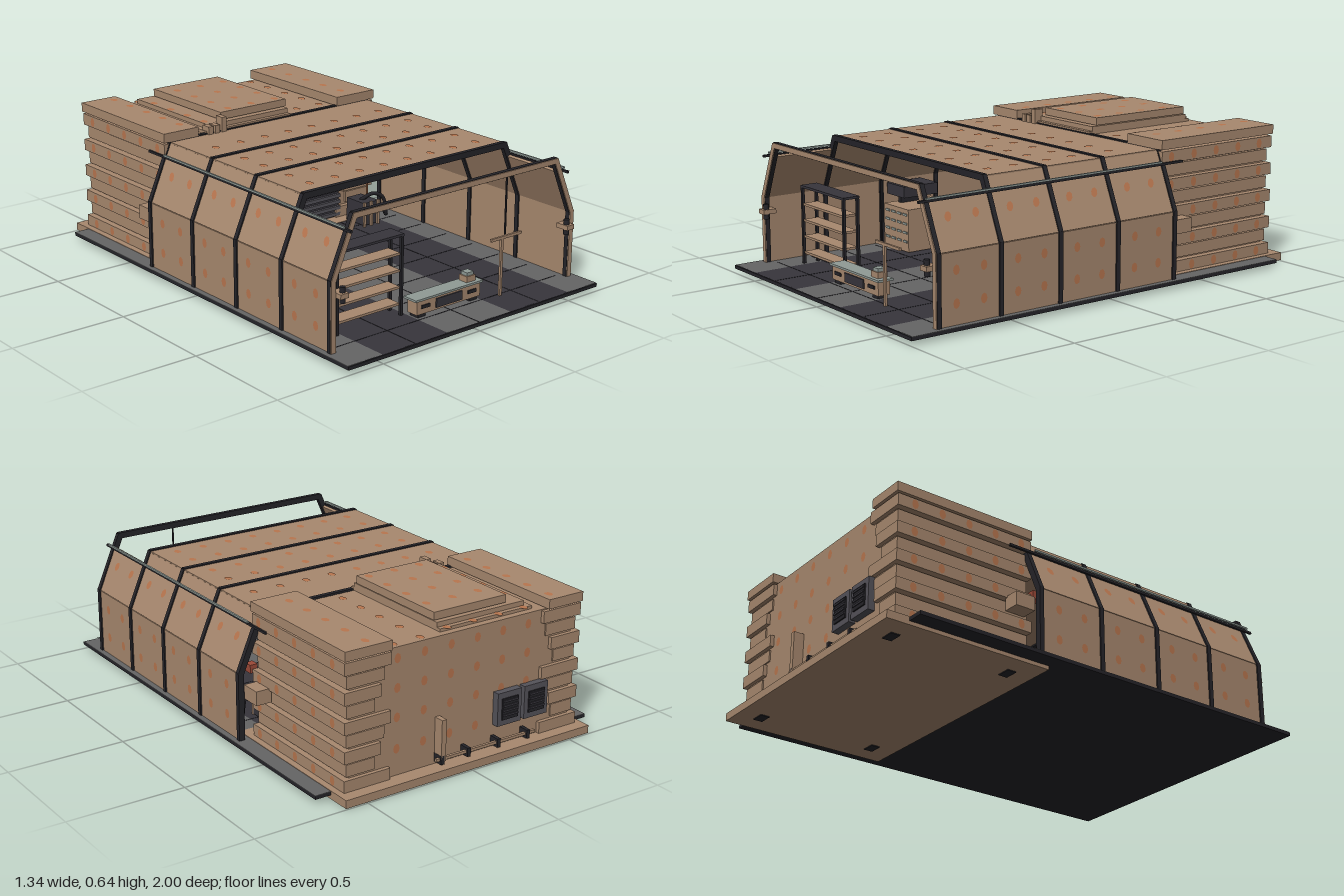
import * as THREE from 'three';
import { mergeGeometries } from 'three/addons/utils/BufferGeometryUtils.js';

const mat = (name, color, side = THREE.FrontSide) => {
  const m = new THREE.MeshStandardMaterial({ color, side });
  m.name = name;
  return m;
};

export function createModel() {
  const root = new THREE.Group();
  root.name = 'fieldShelter';
  const tan = mat('sand tan', 0xa8896f), orange = mat('rust orange', 0xb8764f);
  const dark = mat('charcoal', 0x37353c), grey = mat('floor grey', 0x656565);
  const black = mat('frame black', 0x252429), pale = mat('pale metal', 0x909b96);
  const steel = mat('shutter steel', 0x55535a), red = mat('lamp red', 0x9c4a38);

  const group = (name) => {
    const g = new THREE.Group();
    g.name = name;
    root.add(g);
    return g;
  };
  const add = (parent, name, geo, m) => {
    const mesh = new THREE.Mesh(geo, m);
    mesh.name = name;
    parent.add(mesh);
    return mesh;
  };
  // Box given by its limits on each axis
  const box = (parent, name, m, x0, x1, y0, y1, z0, z1) => {
    const b = add(parent, name, new THREE.BoxGeometry(x1 - x0, y1 - y0, z1 - z0), m);
    b.position.set((x0 + x1) / 2, (y0 + y1) / 2, (z0 + z1) / 2);
    return b;
  };
  // Strip following a line in the x-y plane, extruded along z
  const strip = (parent, name, m, a, b, t, z0, z1) => {
    const dx = b[0] - a[0], dy = b[1] - a[1];
    const s = add(parent, name, new THREE.BoxGeometry(Math.hypot(dx, dy), t, z1 - z0), m);
    s.position.set((a[0] + b[0]) / 2, (a[1] + b[1]) / 2, (z0 + z1) / 2);
    s.rotation.z = Math.atan2(dy, dx);
    return s;
  };
  const tube = (parent, name, m, pts, r) => add(parent, name, new THREE.TubeGeometry(
    new THREE.CatmullRomCurve3(pts.map((p) => new THREE.Vector3(...p))), 24, r, 6), m);

  // Rust spots, gathered and merged at the end
  const spots = [];
  const spot = (x, y, z, nx, ny, nz) => {
    const g = new THREE.CircleGeometry(0.018, 8).scale(0.85, 1.15, 1);
    const q = new THREE.Quaternion().setFromUnitVectors(
      new THREE.Vector3(0, 0, 1), new THREE.Vector3(nx, ny, nz).normalize());
    spots.push(g.applyQuaternion(q).translate(x, y, z));
  };
  const spotX = [-0.44, -0.313, -0.186, -0.06, 0.067, 0.194, 0.321, 0.448];

  // Floor deck with long stripes and tile seams
  const floor = group('floor');
  box(floor, 'deck', black, -0.67, 0.67, 0.02, 0.034, -0.9, 1);
  [[-0.67, -0.5, grey], [-0.5, -0.17, dark], [-0.17, 0.17, grey], [0.17, 0.5, dark], [0.5, 0.67, grey]]
    .forEach(([a, b, m]) => box(floor, 'floorStripe', m, a, b, 0.034, 0.036, -0.9, 0.995));
  for (const x of [-0.335, 0, 0.335]) box(floor, 'longSeam', black, x - 0.002, x + 0.002, 0.036, 0.037, -0.3, 1);
  for (let z = -0.17; z < 1; z += 0.167) box(floor, 'crossSeam', black, -0.6, 0.6, 0.036, 0.037, z - 0.002, z + 0.002);

  // Rear cabin: base, core, stacked side slabs
  const cabin = group('cabin');
  box(cabin, 'base', tan, -0.6, 0.6, 0.004, 0.038, -1, -0.25);
  for (const x of [-0.48, 0.48]) for (const z of [-0.9, -0.36])
    box(cabin, 'foot', black, x - 0.03, x + 0.03, 0, 0.004, z - 0.02, z + 0.02);
  box(cabin, 'core', tan, -0.54, 0.54, 0.036, 0.565, -0.93, -0.335);
  const pitch = 0.0592;
  for (const s of [-1, 1]) for (let i = 0; i < 9; i++) {
    const wide = i % 2 === 0, y = 0.036 + i * pitch;
    const out = wide ? 0.572 : 0.556, inn = 0.36 + (i * 7 % 4) * 0.022 + (s < 0 ? 0.02 : 0);
    const back = wide ? -0.947 : -0.936, front = wide ? -0.312 : -0.325;
    box(cabin, 'wallSlab', tan, Math.min(s * inn, s * out), Math.max(s * inn, s * out), y, y + pitch - 0.009, back, front);
    if (wide) for (let z = -0.87; z < -0.32; z += 0.127) spot(s * (out + 0.002), y + 0.025, z, s, 0, 0);
  }
  box(cabin, 'roofBlock', tan, -0.575, -0.4, 0.568, 0.608, -0.953, -0.308);
  box(cabin, 'roofBlock', tan, 0.36, 0.575, 0.568, 0.608, -0.953, -0.308);
  box(cabin, 'hatchBase', tan, -0.355, 0.1, 0.56, 0.578, -0.9, -0.315);
  box(cabin, 'hatchMiddle', tan, -0.33, 0.1, 0.578, 0.598, -0.88, -0.335);
  box(cabin, 'hatchLid', tan, -0.25, 0.103, 0.602, 0.635, -0.865, -0.355);
  for (const x of [-0.34, -0.305, -0.27]) box(cabin, 'roofPost', tan, x - 0.012, x + 0.012, 0.24, x > -0.28 ? 0.63 : 0.6, -0.345, -0.3);
  for (const x of spotX) for (const z of [-0.9, -0.77, -0.64, -0.515, -0.39]) {
    const lid = x > -0.25 && x < 0.1 && z > -0.86;
    const y = x < -0.4 || x > 0.36 ? 0.609 : lid ? 0.636 : x < 0.1 && x > -0.33 ? (z < -0.88 ? 0.579 : 0.599) : 0.567;
    spot(x, y, z, 0, 1, 0);
  }

  // Back wall: spots, twin vents, pipe with valves
  for (const x of spotX.slice(1, 7)) for (const y of [0.15, 0.28, 0.4, 0.52]) spot(x, y, -0.932, 0, 0, -1);
  for (const x of [-0.21, -0.345]) {
    box(cabin, 'ventFrame', steel, x - 0.06, x + 0.06, 0.13, 0.27, -0.96, -0.928);
    box(cabin, 'ventPanel', black, x - 0.04, x + 0.04, 0.155, 0.245, -0.966, -0.96);
    for (let y = 0.17; y < 0.24; y += 0.02) box(cabin, 'ventSlat', dark, x - 0.038, x + 0.038, y, y + 0.008, -0.97, -0.966);
  }
  box(cabin, 'backPost', tan, 0.115, 0.137, 0.06, 0.235, -0.975, -0.928);
  box(cabin, 'backPipe', tan, -0.34, 0.155, 0.062, 0.074, -0.968, -0.956);
  for (const x of [-0.3, -0.15, 0, 0.13]) box(cabin, 'pipeValve', black, x - 0.008, x + 0.008, 0.048, 0.085, -0.975, -0.93);

  // Front wall of the cabin: roller shutter, housing, door and ledges
  const front = group('cabinFront');
  box(front, 'shutterBack', dark, 0, 0.385, 0.036, 0.48, -0.335, -0.325);
  for (let i = 0; i < 15; i++) box(front, 'shutterSlat', steel, 0, 0.385, 0.045 + i * 0.029, 0.061 + i * 0.029, -0.325, -0.312);
  box(front, 'shutterHousing', tan, -0.26, 0.25, 0.475, 0.53, -0.335, -0.22);
  box(front, 'housingCap', black, -0.21, 0.25, 0.53, 0.537, -0.33, -0.24);
  box(front, 'doorPanel', tan, -0.27, -0.005, 0.036, 0.475, -0.335, -0.318);
  box(front, 'upperLedge', tan, -0.33, -0.085, 0.335, 0.37, -0.335, -0.28);
  box(front, 'lowerLedge', tan, -0.37, -0.08, 0.19, 0.205, -0.335, -0.25);
  box(front, 'ledgeLight', black, -0.26, -0.155, 0.385, 0.4, -0.335, -0.29);
  for (const x of [-0.19, -0.06]) for (const y of [0.1, 0.32, 0.45]) spot(x, y, -0.316, 0, 0, 1);

  // Tunnel canopy: ribs, wall panels, roof panels
  const canopy = group('canopy');
  const foot = [0.637, 0.036], knee = [0.637, 0.32], eave = [0.535, 0.558];
  const lip = [0.557, 0.508], mir = (p, s) => [p[0] * s, p[1]];
  const ribs = [0.86, 0.57, 0.28, -0.015, -0.32];
  ribs.forEach((z, i) => {
    const faces = [[black, z - 0.01, z + 0.01, 0.026]];
    if (i === 0) faces.push([tan, z + 0.01, z + 0.014, 0.022]);
    for (const [m, z0, z1, t] of faces) {
      for (const s of [-1, 1]) {
        strip(canopy, 'ribPost', m, mir(foot, s), mir([0.637, 0.326], s), t, z0, z1);
        strip(canopy, 'ribSlope', m, mir(knee, s), mir([0.532, 0.563], s), t, z0, z1);
      }
      strip(canopy, 'ribTop', m, [-0.54, 0.558], [0.54, 0.558], t, z0, z1);
    }
  });
  for (let i = 0; i < 4; i++) {
    const z1 = ribs[i] - 0.01, z0 = ribs[i + 1] + 0.01, mid = (z0 + z1) / 2;
    for (const s of [-1, 1]) {
      strip(canopy, 'sidePanel', tan, mir(foot, s), mir(knee, s), 0.014, z0, z1);
      strip(canopy, 'slopePanel', tan, mir(knee, s), mir(i === 0 ? lip : eave, s), 0.014, z0, z1);
      for (const dz of [-0.064, 0.064]) {
        for (const y of [0.12, 0.25]) spot(s * 0.646, y, mid + dz, s, 0, 0);
        spot(s * 0.5935, 0.444, mid + dz, s * 0.919, 0.394, 0);
      }
    }
    if (i > 0) {
      box(canopy, 'roofPanel', tan, -0.54, 0.54, 0.552, 0.566, z0, z1);
      for (const x of spotX) for (const dz of i === 3 ? [0.04] : [-0.064, 0.064]) spot(x, 0.568, mid + dz, 0, 1, 0);
    }
  }
  for (const s of [-1, 1]) {
    box(canopy, 'eaveRail', pale, s * 0.583 - 0.004, s * 0.583 + 0.004, 0.516, 0.524, -0.3, 0.87);
    box(canopy, 'innerRail', black, s * 0.575 - 0.005, s * 0.575 + 0.005, 0.505, 0.515, -0.42, 0.9);
    // Lamps on the front rib and boxes on the cabin sides
    box(canopy, 'lampBracket', tan, s * 0.605 - 0.02, s * 0.605 + 0.02, 0.255, 0.275, 0.84, 0.9);
    const lamp = add(canopy, 'lamp', new THREE.CylinderGeometry(0.012, 0.012, 0.065, 10), black);
    lamp.position.set(s * 0.6, 0.265, 0.88);
    box(canopy, 'signalLamp', red, s * 0.565 - 0.017, s * 0.565 + 0.017, 0.305, 0.34, -0.31, -0.27);
    box(canopy, 'sideBox', tan, s * 0.595 - 0.035, s * 0.595 + 0.035, 0.22, 0.28, -0.43, -0.34);
  }

  // Shelf rack
  const rack = group('shelfRack');
  for (const x of [-0.517, -0.19]) for (const z of [0.682, 0.748])
    box(rack, 'rackPost', black, x - 0.006, x + 0.006, 0.036, 0.375, z - 0.006, z + 0.006);
  box(rack, 'rackTop', dark, -0.523, -0.184, 0.367, 0.377, 0.675, 0.755);
  for (const y of [0.08, 0.15, 0.22, 0.29]) box(rack, 'shelf', tan, -0.51, -0.2, y, y + 0.01, 0.68, 0.75);

  // Low control console
  const desk = group('console');
  box(desk, 'consoleBody', tan, -0.17, 0.172, 0.05, 0.108, 0.765, 0.82);
  box(desk, 'consoleTop', pale, -0.182, 0.182, 0.108, 0.117, 0.755, 0.827);
  box(desk, 'consoleScreen', dark, -0.07, 0.07, 0.06, 0.098, 0.82, 0.826);
  for (const s of [-1, 1]) {
    box(desk, 'consoleSlot', black, s * 0.125 - 0.022, s * 0.125 + 0.022, 0.074, 0.088, 0.82, 0.825);
    box(desk, 'consoleFoot', black, s * 0.14 - 0.02, s * 0.14 + 0.02, 0.036, 0.05, 0.77, 0.815);
  }
  box(desk, 'gadget', tan, 0.107, 0.155, 0.117, 0.142, 0.765, 0.81);
  box(desk, 'gadgetTop', pale, 0.113, 0.149, 0.142, 0.156, 0.77, 0.805);

  // Storage crate with pale slats, and the dark case above it
  const store = group('storage');
  box(store, 'crate', tan, -0.575, -0.385, 0.04, 0.23, 0.05, 0.3);
  for (let r = 0; r < 4; r++) for (let c = 0; c < 4; c++)
    box(store, 'crateMark', pale, -0.56 + c * 0.045, -0.53 + c * 0.045, 0.08 + r * 0.04, 0.09 + r * 0.04, 0.3, 0.304);
  box(store, 'case', dark, -0.61, -0.475, 0.262, 0.312, 0.08, 0.26);
  box(store, 'caseStand', black, -0.55, -0.53, 0.23, 0.262, 0.1, 0.24);
  box(store, 'bench', tan, -0.36, -0.17, 0.15, 0.165, -0.24, -0.1);
  for (const x of [-0.35, -0.19]) box(store, 'benchLeg', tan, x, x + 0.012, 0.036, 0.15, -0.23, -0.11);

  // Hanging rod, work stand and hose reel
  const work = group('workStand');
  box(work, 'hangingRod', black, 0.262, 0.268, 0.3, 0.55, 0.855, 0.861);
  box(work, 'standArm', tan, 0.2, 0.37, 0.278, 0.29, 0.84, 0.85);
  box(work, 'standPost', tan, 0.255, 0.267, 0.036, 0.28, 0.84, 0.85);
  box(work, 'pipeArm', orange, 0.3, 0.45, 0.315, 0.321, -0.2, -0.194);
  box(work, 'pipeDrop', orange, 0.443, 0.45, 0.15, 0.315, -0.2, -0.194);
  box(work, 'pump', dark, 0.38, 0.465, 0.04, 0.145, -0.26, -0.14);
  for (const x of [0.38, 0.42, 0.46]) box(work, 'pumpRib', tan, x - 0.006, x + 0.006, 0.036, 0.15, -0.14, -0.13);
  tube(work, 'hose', black, [[0.41, 0.14, -0.2], [0.45, 0.175, -0.16], [0.5, 0.15, -0.15], [0.53, 0.06, -0.16], [0.55, 0.07, -0.2]], 0.009);

  add(root, 'rustSpots', mergeGeometries(spots), orange);
  return root;
}
